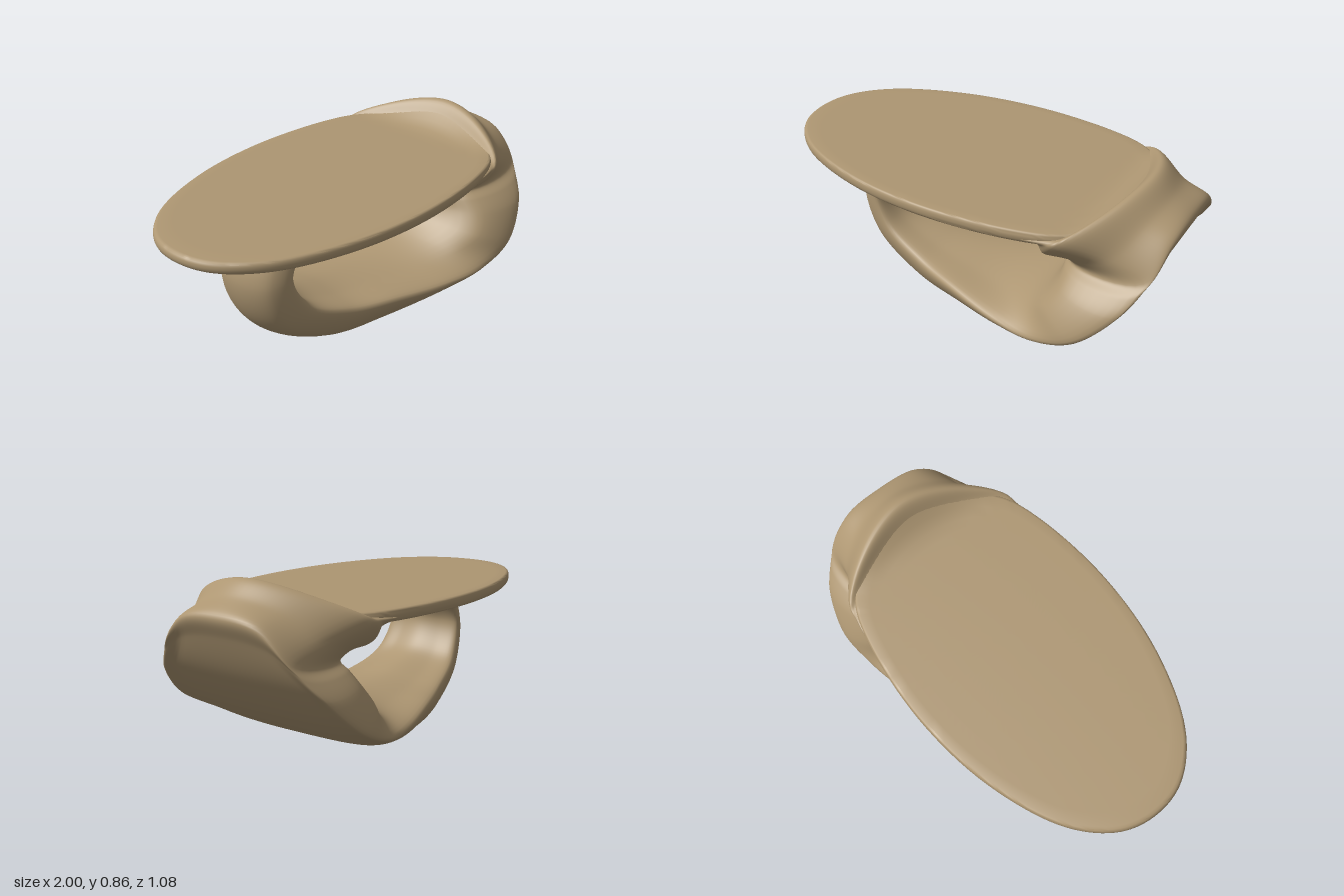
import * as THREE from 'three';
import { mergeVertices, toCreasedNormals } from 'three/addons/utils/BufferGeometryUtils.js';

const V = (x, y, z = 0) => new THREE.Vector3(x, y, z);

// Surface from a function of two grid indices
function gridSurface(nu, nv, at) {
  const pos = [], index = [];
  for (let u = 0; u <= nu; u++)
    for (let v = 0; v <= nv; v++) pos.push(...at(u, v).toArray());
  for (let u = 0; u < nu; u++)
    for (let v = 0; v < nv; v++) {
      const a = u * (nv + 1) + v, b = a + nv + 1;
      index.push(a, b, a + 1, b, b + 1, a + 1);
    }
  const g = new THREE.BufferGeometry();
  g.setAttribute('position', new THREE.Float32BufferAttribute(pos, 3));
  g.setIndex(index);
  const merged = mergeVertices(g, 1e-5);
  merged.computeVertexNormals();
  return merged;
}

// Edge of the opening at an angle: elliptical below, squarer above
function opening(angle) {
  const c = Math.cos(angle), s = Math.sin(angle);
  const e = s < 0 ? 1 : c < 0 ? 0.75 : 0.88;
  const power = (k) => Math.sign(k) * Math.abs(k) ** e;
  return V(0.5 * power(c), 0.455 + (s > 0 ? 0.205 : 0.22) * power(s));
}

// Closed ring of control points: outer centre, flank, rim, inner flank, inner centre, then mirrored
function ringPoints(degrees, halfWidth, ox, oy, rimX, rimY, bend = 0.28) {
  const angle = THREE.MathUtils.degToRad(degrees);
  const outer = V(ox, oy), inner = opening(angle);
  const rim = rimX === undefined ? outer.clone().lerp(inner, 0.8) : V(rimX, rimY);
  const neck = Math.max(0, Math.cos(angle)) ** 2;
  const flank = (p, t, w) => p.clone().lerp(rim, t).setZ(halfWidth * w);
  const outerWidth = degrees < 360 ? 0.76 : 0.6;
  const side = [flank(outer, bend, outerWidth), rim.setZ(halfWidth), flank(inner, 0.4 - 0.2 * neck, 0.52 + 0.36 * neck)];
  const mirrored = side.map((p) => V(p.x, p.y, -p.z)).reverse();
  return [outer, ...side, inner, ...mirrored];
}

// Looping base: under the top, round the left end, along the floor, up the shell to the lip
function baseGeometry() {
  const rings = [
    ringPoints(90, 0.27, 0, 0.705),
    ringPoints(120, 0.24, -0.3, 0.672),
    ringPoints(143, 0.215, -0.54, 0.63),
    ringPoints(150, 0.205, -0.605, 0.607),
    ringPoints(176, 0.2, -0.67, 0.42),
    ringPoints(213, 0.225, -0.58, 0.18),
    ringPoints(244, 0.28, -0.3, 0.02),
    ringPoints(270, 0.36, 0, 0.005, 0, 0.19),
    ringPoints(294, 0.44, 0.25, 0.045, 0.27, 0.175),
    ringPoints(316, 0.49, 0.5, 0.13, 0.49, 0.19),
    ringPoints(337, 0.51, 0.72, 0.28, 0.7, 0.275),
    ringPoints(354, 0.45, 0.88, 0.47, 0.86, 0.43),
    ringPoints(365, 0.39, 0.965, 0.64, 0.91, 0.515, 0.2),
    ringPoints(372, 0.345, 0.998, 0.735, 0.928, 0.57, 0.16),
    ringPoints(379, 0.37, 0.9, 0.8, 0.76, 0.63),
    ringPoints(386, 0.47, 0.8, 0.865, 0.58, 0.7, 0.36),
    ringPoints(400, 0.475, 0.7, 0.76, 0.54, 0.702),
    ringPoints(414, 0.49, 0.58, 0.725, 0.42, 0.7),
    ringPoints(430, 0.42, 0.3, 0.715, 0.2, 0.7),
  ];
  const rails = rings[0].map((_, j) => new THREE.CatmullRomCurve3(rings.map((r) => r[j]), true));
  const nu = 190, nv = 64, rows = [];
  for (let u = 0; u <= nu; u++) {
    const ring = new THREE.CatmullRomCurve3(rails.map((c) => c.getPoint((u % nu) / nu)), true);
    rows.push(Array.from({ length: nv + 1 }, (_, v) => ring.getPoint((v % nv) / nv)));
  }
  return gridSurface(nu, nv, (u, v) => rows[u][v]);
}

// Oval top whose right end sweeps up into the lip
function topGeometry() {
  const side = [V(-0.96, 0, 0.17), V(-0.8, 0, 0.34), V(-0.45, 0, 0.485), V(-0.03, 0, 0.54),
    V(0.4, 0, 0.5), V(0.6, 0, 0.43), V(0.73, 0, 0.29)];
  const farSide = side.map((p) => V(p.x, 0, -p.z)).reverse();
  const outline = new THREE.CatmullRomCurve3([V(-1, 0), ...side, V(0.79, 0), ...farSide], true);

  // Profile of (scale from centre, height): flat underside, rounded edge, flat upper side
  const profile = [], steps = 14, bottom = 0.682, top = 0.734;
  for (let i = 0; i < steps; i++) profile.push([0.97 * i / steps, bottom]);
  for (let i = 0; i <= 8; i++) {
    const a = Math.PI * (i / 8 - 0.5);
    profile.push([0.975 + 0.025 * Math.cos(a) ** 0.7, (bottom + top) / 2 + (top - bottom) / 2 * Math.sin(a)]);
  }
  for (let i = steps - 1; i >= 0; i--) profile.push([0.97 * i / steps, top]);

  const nu = 128;
  const g = gridSurface(nu, profile.length - 1, (u, v) => {
    const p = outline.getPoint((u % nu) / nu);
    const [s, h] = profile[v];
    const x = -0.03 + (p.x + 0.03) * s;
    const rise = Math.max(0, (x - 0.6) / 0.19) ** 2;
    return V(x, h + 0.006 * x + 0.118 * rise, p.z * s);
  });
  return toCreasedNormals(g, 0.75);
}

export function createModel() {
  const tan = new THREE.MeshStandardMaterial({ color: 0xad9672 });
  tan.name = 'tan';
  const model = new THREE.Group();
  model.name = 'loopTable';
  const add = (name, geometry) => {
    const mesh = new THREE.Mesh(geometry, tan);
    mesh.name = name;
    model.add(mesh);
  };
  add('loopBase', baseGeometry());
  add('tableTop', topGeometry());
  return model;
}
